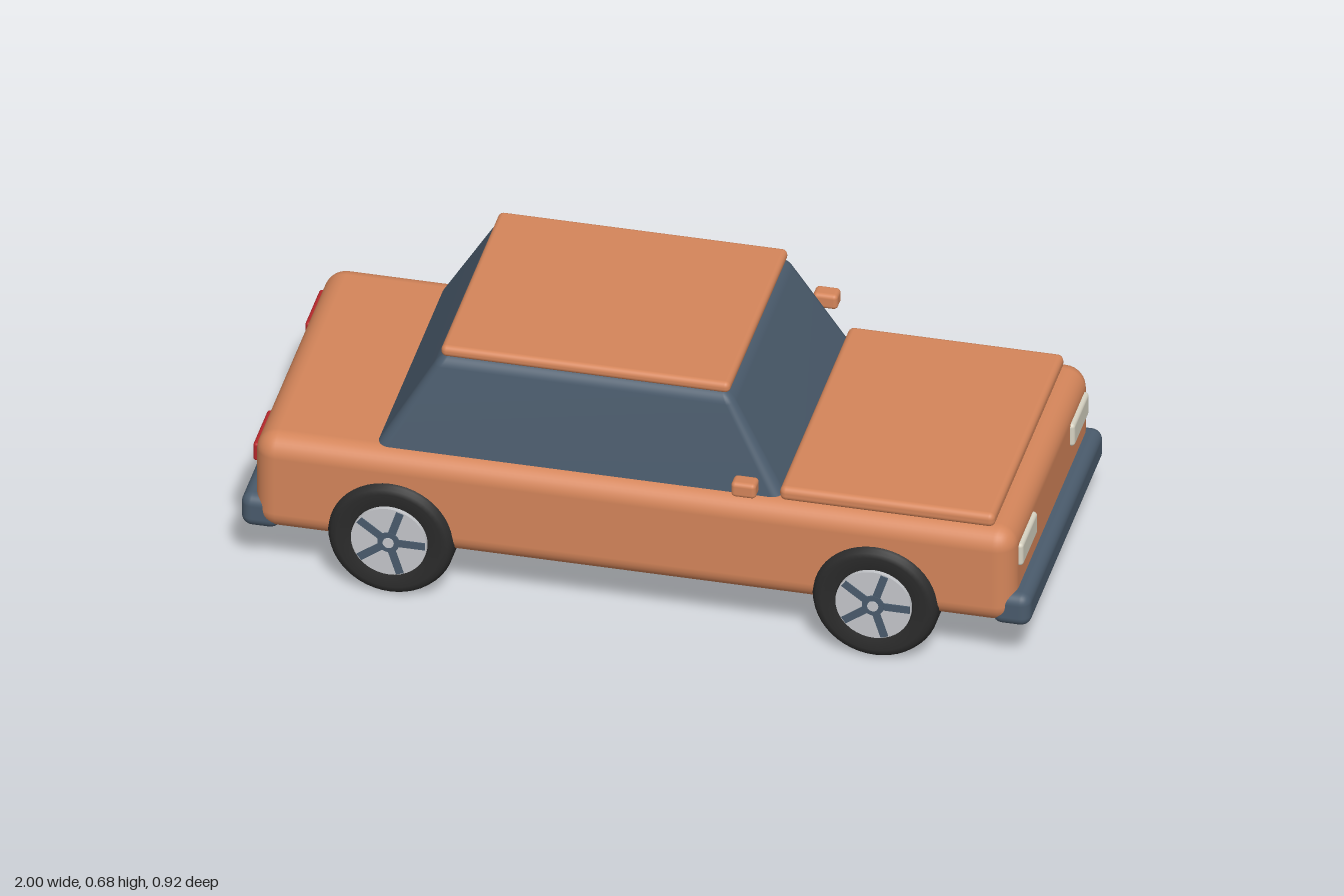
import * as THREE from 'three';
import { RoundedBoxGeometry } from 'three/addons/geometries/RoundedBoxGeometry.js';
import { mergeVertices } from 'three/addons/utils/BufferGeometryUtils.js';

const mat = (name, color) => {
  const m = new THREE.MeshStandardMaterial({ color });
  m.name = name;
  return m;
};

export function createModel() {
  const paint = mat('orange paint', 0xd4855a);
  const slate = mat('slate', 0x4a5b6c);
  const rubber = mat('rubber', 0x2b2b2b);
  const alloy = mat('alloy', 0xc4c6ca);
  const lamp = mat('headlight glass', 0xd6d2c2);
  const red = mat('tail light red', 0xb8282c);

  const car = new THREE.Group();
  car.name = 'car';

  const add = (name, geometry, material, parent = car) => {
    const mesh = new THREE.Mesh(geometry, material);
    mesh.name = name;
    parent.add(mesh);
    return mesh;
  };
  // Rounded box given by its extents on each axis
  const block = (name, material, [x0, x1], [y0, y1], [z0, z1], radius) => {
    const g = new RoundedBoxGeometry(x1 - x0, y1 - y0, z1 - z0, 4, radius);
    g.translate((x0 + x1) / 2, (y0 + y1) / 2, (z0 + z1) / 2);
    return add(name, g, material);
  };

  // Body shell, hood and roof
  block('body', paint, [-0.965, 0.962], [0.13, 0.402], [-0.41, 0.41], 0.055);
  block('hood', paint, [0.36, 0.905], [0.395, 0.434], [-0.376, 0.376], 0.016);
  block('roof', paint, [-0.512, 0.22], [0.648, 0.679], [-0.315, 0.315], 0.014);

  // Glass cabin: a rounded box narrowed towards the roof
  const cabin = new RoundedBoxGeometry(1.03, 0.31, 0.74, 4, 0.03);
  cabin.translate(-0.147, 0.5, 0);
  cabin.deleteAttribute('normal');
  cabin.deleteAttribute('uv');
  const p = cabin.attributes.position;
  for (let i = 0; i < p.count; i++) {
    const t = (p.getY(i) - 0.4) / 0.25;
    p.setX(i, -0.147 + (p.getX(i) + 0.147) * (1 - 0.285 * t));
    p.setZ(i, p.getZ(i) * (1 - 0.13 * t));
  }
  const glass = mergeVertices(cabin);
  glass.computeVertexNormals();
  add('cabin', glass, slate);

  // Bumpers
  block('frontBumper', slate, [0.9, 1], [0.127, 0.219], [-0.4, 0.4], 0.028);
  block('rearBumper', slate, [-1, -0.9], [0.127, 0.219], [-0.4, 0.4], 0.028);

  // Lights and mirrors on both sides
  for (const s of [1, -1]) {
    const span = (a, b) => (s > 0 ? [a, b] : [-b, -a]);
    block('headlight', lamp, [0.935, 0.973], [0.28, 0.345], span(0.195, 0.355), 0.01);
    block('tailLight', red, [-0.977, -0.94], [0.298, 0.35], span(0.198, 0.357), 0.008);
    block('mirror', paint, [0.257, 0.32], [0.444, 0.486], span(0.413, 0.459), 0.011);
  }

  // Tyre profile as radius and offset along the axle
  const tyreProfile = [
    [0.095, -0.05], [0.1, -0.057], [0.135, -0.06], [0.147, -0.057], [0.155, -0.049], [0.16, -0.036],
    [0.16, 0.036], [0.155, 0.049], [0.147, 0.057], [0.135, 0.06], [0.1, 0.057], [0.095, 0.05], [0.095, -0.05],
  ].map(([r, y]) => new THREE.Vector2(r, y));
  const tyre = new THREE.LatheGeometry(tyreProfile, 48).rotateX(Math.PI / 2);
  const rim = new THREE.CylinderGeometry(0.096, 0.096, 0.126, 40).rotateX(Math.PI / 2);
  const cap = new THREE.CylinderGeometry(0.014, 0.014, 0.14, 20).rotateX(Math.PI / 2);
  const hub = new THREE.CylinderGeometry(0.028, 0.028, 0.134, 24).rotateX(Math.PI / 2);
  const spoke = new THREE.BoxGeometry(0.075, 0.02, 0.132).translate(0.055, 0, 0);

  // Four wheels with five spokes each
  for (const x of [0.612, -0.615]) {
    for (const s of [1, -1]) {
      const wheel = new THREE.Group();
      wheel.name = x > 0 ? 'frontWheel' : 'rearWheel';
      wheel.position.set(x, 0.162, s * 0.368);
      add('tyre', tyre, rubber, wheel);
      add('rim', rim, alloy, wheel);
      add('hub', hub, slate, wheel);
      add('hubCap', cap, alloy, wheel);
      for (let i = 0; i < 5; i++) {
        add('spoke', spoke, slate, wheel).rotation.z = (i * Math.PI * 2) / 5;
      }
      car.add(wheel);
    }
  }
  return car;
}
